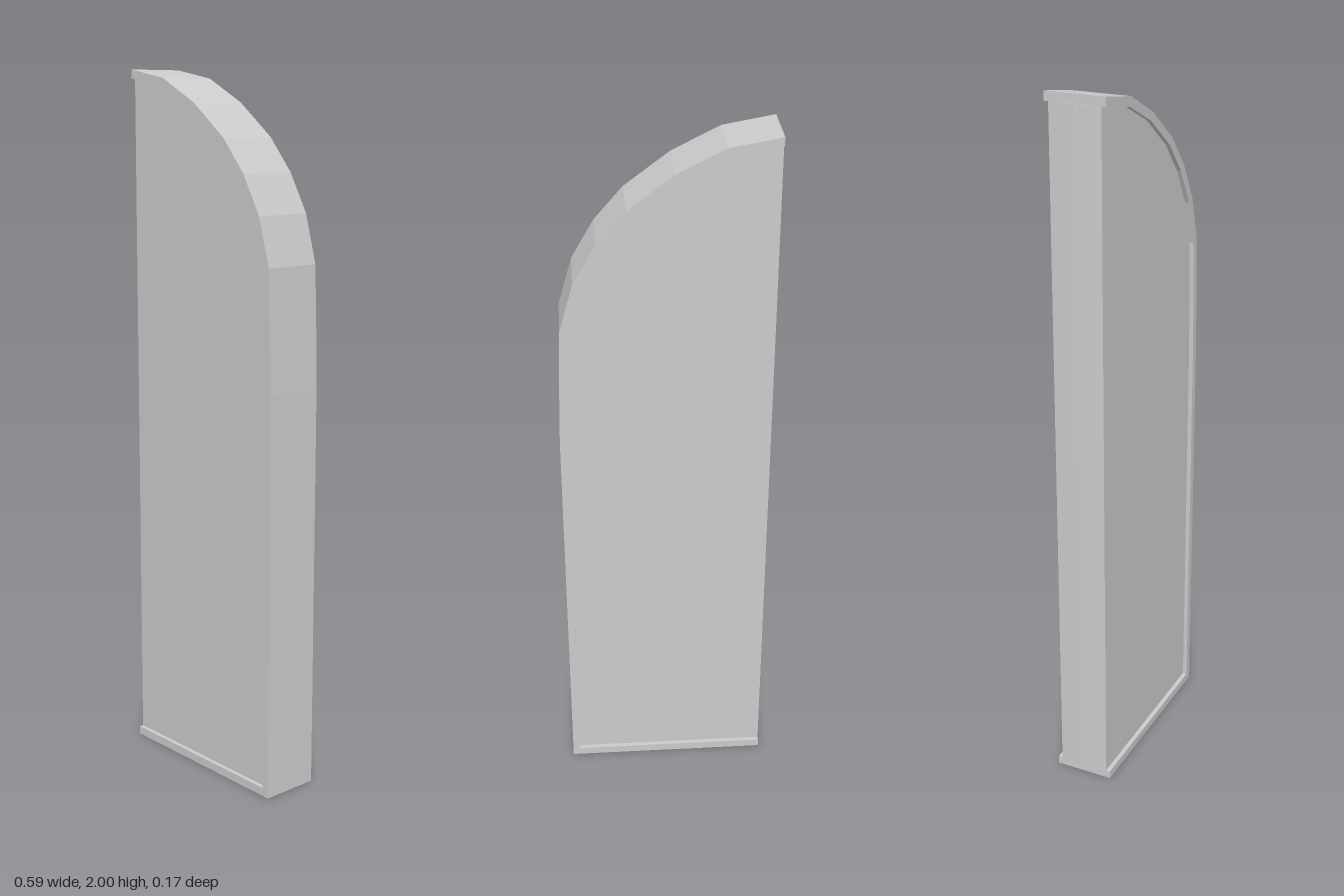
import * as THREE from 'three';

const material = new THREE.MeshStandardMaterial({ color: 0xcccccc, flatShading: true });
const SIDE = -0.29;        // straight hinge side
const DEPTH = 0.17;        // rim depth
const PANEL_DEPTH = 0.145; // panel sits slightly inside the rim

// Arched edge from the top of the straight side down to the lower corner
const outer = [[SIDE, 2], [-0.15, 1.975], [-0.02, 1.91], [0.103, 1.818], [0.182, 1.727],
  [0.244, 1.62], [0.282, 1.487], [0.289, 1.3], [0.293, 1.15], [0.293, 0], [SIDE, 0]];
const inner = [[SIDE, 1.975], [-0.158, 1.95], [-0.033, 1.89], [0.086, 1.802], [0.163, 1.713],
  [0.222, 1.61], [0.26, 1.482], [0.267, 1.3], [0.271, 1.15], [0.271, 0.024], [SIDE, 0.024]];

const toShape = (points) => new THREE.Shape(points.map(([x, y]) => new THREE.Vector2(x, y)));

function extrude(points, depth) {
  return new THREE.ExtrudeGeometry(toShape(points), { depth, bevelEnabled: false })
    .translate(0, 0, -depth / 2);
}

export function createModel() {
  const group = new THREE.Group();
  const add = (name, geometry) => {
    const mesh = new THREE.Mesh(geometry, material);
    mesh.name = name;
    group.add(mesh);
  };

  // Rim around the arch, the outer side and the bottom, open on the straight side
  add('rim', extrude([...outer, ...[...inner].reverse()], DEPTH));

  // Recessed door panel
  add('panel', extrude(inner, PANEL_DEPTH));

  // Slightly rounded edge along the straight side
  const half = PANEL_DEPTH / 2;
  const bulge = [];
  for (let i = 0; i <= 6; i++) {
    const t = -1 + i / 3;
    bulge.push([SIDE - 0.003 * (1 - t * t), t * half]);
  }
  const edge = extrude(bulge, 1.951).rotateX(-Math.PI / 2).translate(0, 0.9995, 0);
  add('hingeEdge', edge);

  return group;
}
